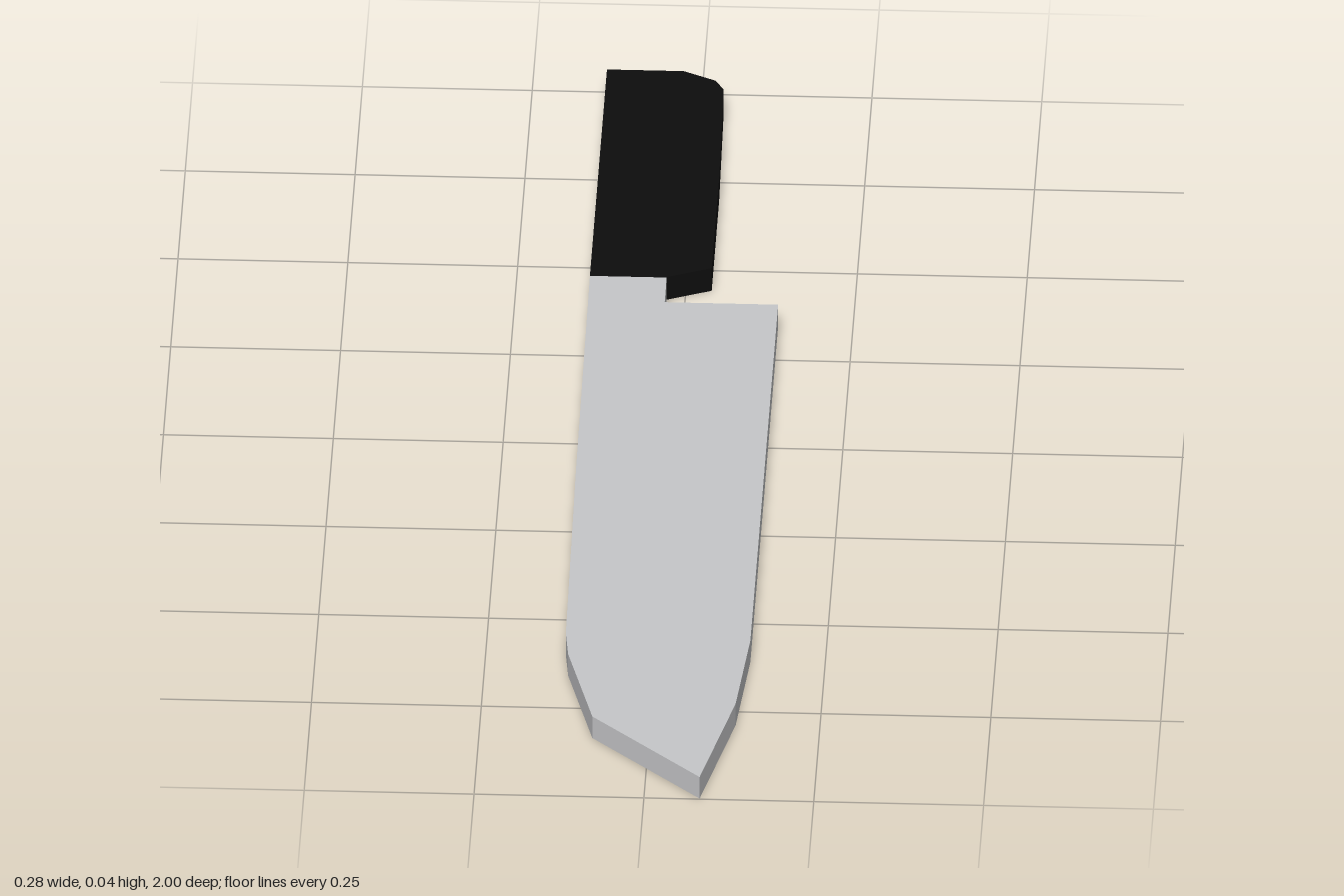
import * as THREE from 'three';

// Flat plate from an outline of [x, z] points, running from y = bottom to y = top
function plate(name, outline, bottom, top, material) {
  const shape = new THREE.Shape(outline.map(([x, z]) => new THREE.Vector2(x, -z)));
  const geometry = new THREE.ExtrudeGeometry(shape, { depth: top - bottom, bevelEnabled: false });
  geometry.rotateX(-Math.PI / 2);
  geometry.translate(0, bottom, 0);
  const mesh = new THREE.Mesh(geometry, material);
  mesh.name = name;
  return mesh;
}

export function createModel() {
  const steel = new THREE.MeshStandardMaterial({ name: 'steel', color: 0xc6c7c9 });
  const black = new THREE.MeshStandardMaterial({ name: 'blackGrip', color: 0x0d0d0d });

  const group = new THREE.Group();
  group.name = 'knife';

  // Blade with tang neck, heel notch, curved edge and angled tip
  group.add(plate('blade', [
    [-0.14, -0.415], [-0.137, 0.13], [-0.132, 0.6], [-0.126, 0.66], [-0.083, 0.835],
    [0.082, 1], [0.126, 0.79], [0.14, 0.61], [0.14, -0.345],
    [-0.027, -0.345], [-0.027, -0.415],
  ], 0.001, 0.038, steel));

  // Handle with chamfered butt and front corner
  group.add(plate('handle', [
    [-0.14, -1], [-0.14, -0.415], [-0.027, -0.415], [0.038, -0.443],
    [0.038, -0.7], [0.034, -0.95], [0.021, -0.975], [-0.027, -1],
  ], 0, 0.039, black));

  return group;
}
